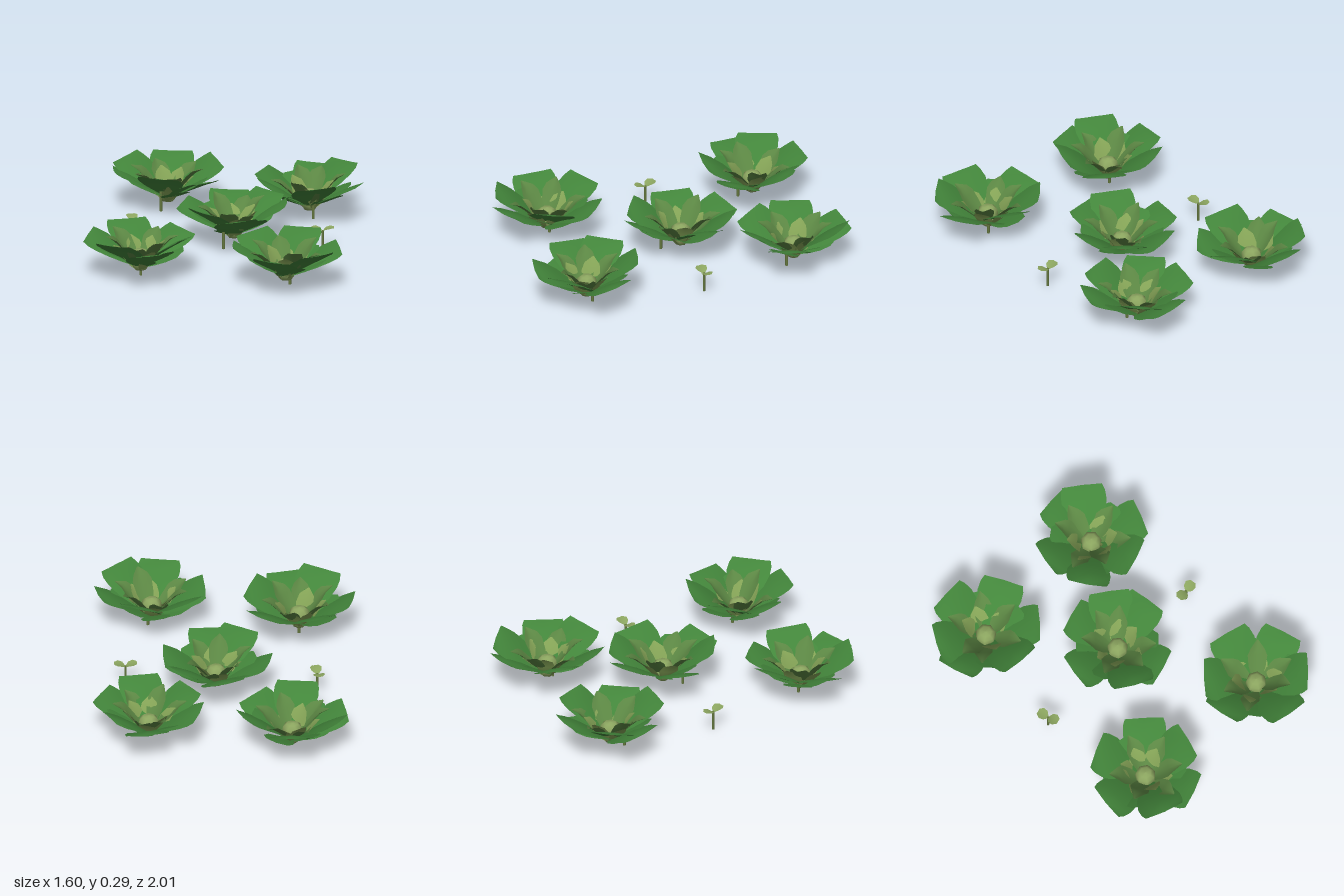
import * as THREE from 'three';

const material = (color) => new THREE.MeshStandardMaterial({ color, side: THREE.DoubleSide });
const outerGreen = material(0x43863b);
const middleGreen = material(0x5b8643);
const paleGreen = material(0x84a356);
const coreGreen = material(0x8ca660);
const stemGreen = material(0x65783f);

// Leaf along +x. Each section is [reach, height, half width, edge lift, edge setback].
function leafGeometry(sections, across = 4) {
  const pos = [], index = [];
  sections.forEach(([r, y, w, lift, back = 0], i) => {
    for (let j = 0; j <= across; j++) {
      const u = (j / across) * 2 - 1;
      pos.push(r - back * Math.abs(u), y + lift * u * u, -w * u);
      if (i && j) {
        const b = i * (across + 1) + j, a = b - across - 1;
        index.push(a - 1, b - 1, a, a, b - 1, b);
      }
    }
  });
  const g = new THREE.BufferGeometry();
  g.setAttribute('position', new THREE.Float32BufferAttribute(pos, 3));
  g.setIndex(index);
  g.computeVertexNormals();
  return g;
}

// Broad leaf flattening outwards, with a straight end and sharp corners
const outerLeaf = leafGeometry([
  [0.03, 0.075, 0.025, 0], [0.09, 0.12, 0.075, 0], [0.16, 0.175, 0.115, -0.008],
  [0.23, 0.22, 0.133, -0.012], [0.28, 0.242, 0.13, -0.008], [0.317, 0.25, 0.117, 0.005, 0.006],
]);
// Pointed leaf below the broad ones
const lowerLeaf = leafGeometry([
  [0.03, 0.07, 0.025, 0], [0.08, 0.1, 0.062, 0], [0.14, 0.135, 0.09, 0],
  [0.2, 0.168, 0.085, -0.005], [0.25, 0.19, 0.035, 0],
]);
// Narrow folded leaf with a pointed end
const middleLeaf = leafGeometry([
  [0.03, 0.075, 0.025, 0.01], [0.09, 0.135, 0.05, 0.015], [0.14, 0.19, 0.058, 0.018],
  [0.18, 0.225, 0.042, 0.012, 0.01], [0.225, 0.25, 0.004, 0],
]);
const innerLeaf = leafGeometry([
  [0.025, 0.045, 0.02, 0.004], [0.06, 0.08, 0.045, 0.01], [0.09, 0.13, 0.056, 0.01],
  [0.12, 0.175, 0.045, 0.008], [0.155, 0.21, 0.004, 0],
]);
const sproutLeaf = leafGeometry([
  [0, 0, 0.006, 0], [0.018, 0.012, 0.03, 0.004], [0.045, 0.02, 0.036, 0.004], [0.068, 0.022, 0.018, 0.002],
]);

function add(parent, name, geometry, mat) {
  const mesh = new THREE.Mesh(geometry, mat);
  mesh.name = name;
  parent.add(mesh);
  return mesh;
}

// Ring of leaves at the given angles in degrees, with slight deterministic variation
function leafRing(parent, name, geometry, mat, angles, seed) {
  angles.forEach((deg, i) => {
    const leaf = add(parent, name, geometry, mat);
    const v = Math.sin(seed * 5.1 + i * 2.7);
    leaf.rotation.order = 'YXZ';
    leaf.rotation.set(0.1 * Math.sin(seed + i * 4.1), THREE.MathUtils.degToRad(deg), 0.06 * v);
    leaf.scale.setScalar(1 + 0.02 * v);
  });
}

// Thin straight stalk from the ground
function stalk(parent, x, z, height, radius) {
  const stem = add(parent, 'stem', new THREE.CylinderGeometry(radius, radius, height, 6), stemGreen);
  stem.position.set(x, height / 2, z);
}

// x, z of the heart; x, z where the stem meets the ground; outer leaf angles
const plants = [
  [-0.46, -0.69, -0.49, -0.61, [93, 151, 194, 266, 318, 29]],
  [0.4, -0.655, 0.43, -0.6, [95, 50, -23, -72, 216, 167]],
  [0.03, -0.07, -0.015, 0.04, [107, 53, 6, 286, 241, 170]],
  [-0.43, 0.615, -0.43, 0.6, [115, 49, -17, -70, 249, 173]],
  [0.455, 0.67, 0.475, 0.64, [75, 18, -45, -99, 188, 137]],
];

function createPlant([x, z, sx, sz, angles], k) {
  const plant = new THREE.Group();
  plant.name = 'leafyPlant';
  plant.position.set(x, 0, z);
  stalk(plant, sx - x, sz - z, 0.12, 0.009);

  // Pale round heart with a flat underside
  const heart = [[0, 0.04], [0.035, 0.042], [0.055, 0.07], [0.064, 0.105], [0.057, 0.145], [0.035, 0.163], [0, 0.17]];
  add(plant, 'heart', new THREE.LatheGeometry(heart.map((p) => new THREE.Vector2(...p)), 7, k), coreGreen);

  leafRing(plant, 'outerLeaf', outerLeaf, outerGreen, angles, k);
  leafRing(plant, 'lowerLeaf', lowerLeaf, outerGreen, angles.map((a) => a + 30), k + 3);
  leafRing(plant, 'middleLeaf', middleLeaf, middleGreen, angles.map((a) => a + 28), k + 7);
  leafRing(plant, 'innerLeaf', innerLeaf, paleGreen, angles.map((_, i) => i * 60 + k * 23), k + 13);
  return plant;
}

// Seedling with two small leaves
function createSprout(x, z, angles) {
  const sprout = new THREE.Group();
  sprout.name = 'sprout';
  sprout.position.set(x, 0, z);
  stalk(sprout, 0, 0, 0.122, 0.008);
  for (const deg of angles) {
    const leaf = add(sprout, 'sproutLeaf', sproutLeaf, coreGreen);
    leaf.position.y = 0.118;
    leaf.rotation.y = THREE.MathUtils.degToRad(deg);
  }
  return sprout;
}

export function createModel() {
  const model = new THREE.Group();
  model.name = 'leafyPlantPatch';
  plants.forEach((p, k) => model.add(createPlant(p, k)));
  model.add(createSprout(-0.575, -0.055, [108, 285]));
  model.add(createSprout(0.572, -0.03, [7, 187]));
  return model;
}
